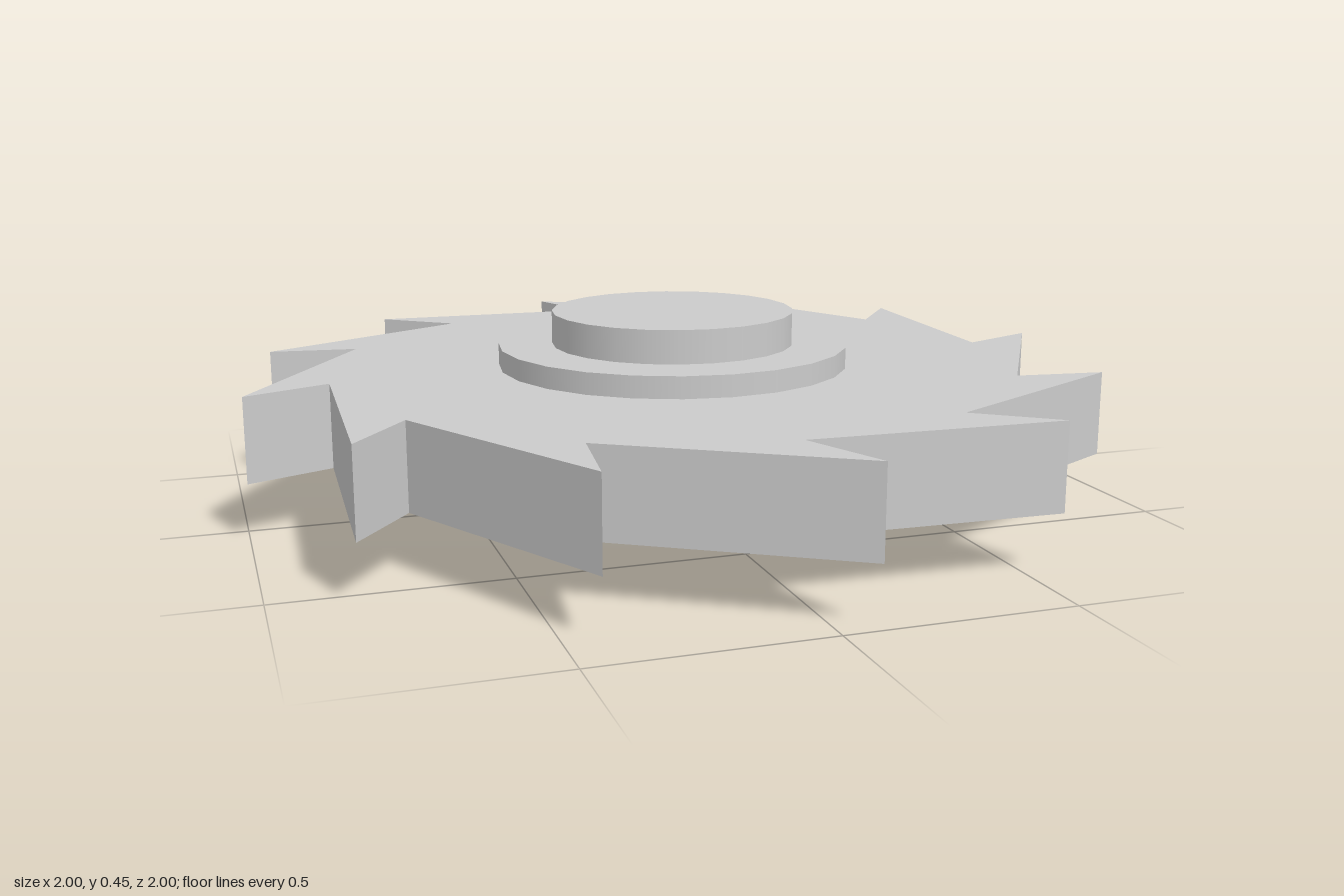
import * as THREE from 'three';

const material = new THREE.MeshStandardMaterial({ color: 0xcccccc });
const TEETH = 12;

// Saw-tooth outline: each tip overhangs the valley behind it
function bladeShape() {
  const points = [];
  const polar = (r, a) => new THREE.Vector2(r * Math.cos(a), r * Math.sin(a));
  const step = (Math.PI * 2) / TEETH;
  for (let i = 0; i < TEETH; i++) {
    points.push(polar(0.807, i * step));
    points.push(polar(1.003, (i + 1) * step + 0.08));
  }
  return new THREE.Shape(points);
}

// Upright disc between two heights
function disc(name, radius, bottom, top) {
  const geometry = new THREE.CylinderGeometry(radius, radius, top - bottom, 24);
  const mesh = new THREE.Mesh(geometry, material);
  mesh.position.y = (bottom + top) / 2;
  mesh.name = name;
  return mesh;
}

export function createModel() {
  const group = new THREE.Group();
  group.name = 'sawBlade';

  // Toothed plate, laid flat
  const geometry = new THREE.ExtrudeGeometry(bladeShape(), { depth: 0.195, bevelEnabled: false });
  geometry.rotateX(-Math.PI / 2);
  const blade = new THREE.Mesh(geometry, material);
  blade.position.y = 0.13;
  blade.name = 'toothedBlade';
  group.add(blade);

  // Stepped hub, the same above and below the plate
  group.add(disc('upperFlange', 0.413, 0.325, 0.375));
  group.add(disc('lowerFlange', 0.413, 0.08, 0.13));
  group.add(disc('upperHub', 0.286, 0.375, 0.452));
  group.add(disc('lowerHub', 0.286, 0, 0.08));
  return group;
}
